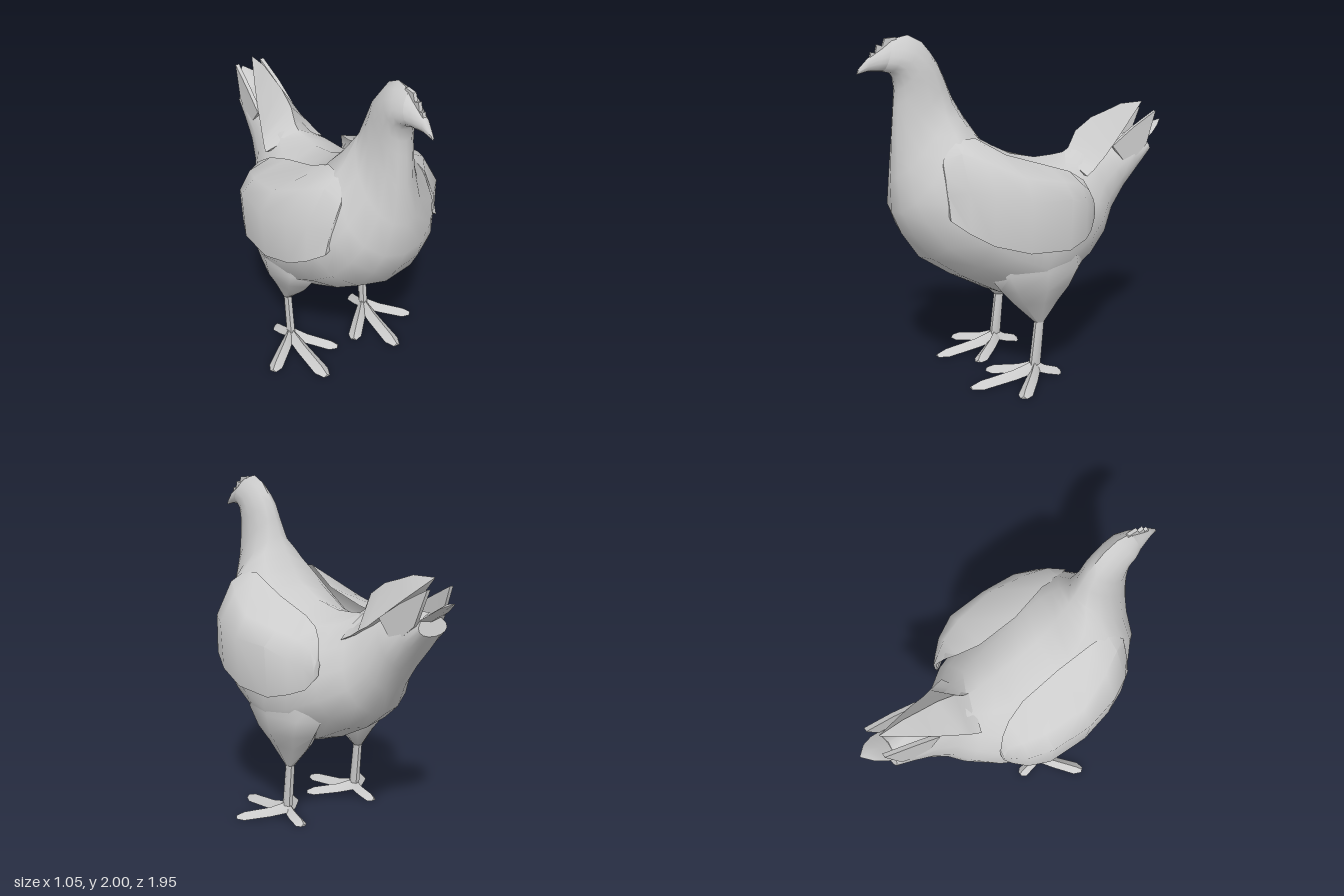
import * as THREE from 'three';
import { toCreasedNormals } from 'three/addons/utils/BufferGeometryUtils.js';

const material = new THREE.MeshStandardMaterial({ color: 0xcccccc, side: THREE.DoubleSide });

// Skin a list of closed rings of [x, y, z] points, cap both ends, and face it outwards
function loft(rings, crease = 1) {
  const n = rings[0].length;
  const pts = rings.flat();
  const faces = [];
  for (let r = 0; r < rings.length - 1; r++) {
    for (let i = 0; i < n; i++) {
      const a = r * n + i, b = r * n + (i + 1) % n;
      faces.push([a, b, b + n], [a, b + n, a + n]);
    }
  }
  const last = (rings.length - 1) * n;
  for (let i = 1; i < n - 1; i++) {
    faces.push([0, i + 1, i], [last, last + i, last + i + 1]);
  }
  let volume = 0;
  const v = pts.map(p => new THREE.Vector3(...p));
  for (const [a, b, c] of faces) volume += v[a].dot(v[b].clone().cross(v[c]));
  if (volume < 0) faces.forEach(f => f.reverse());
  const g = new THREE.BufferGeometry();
  g.setAttribute('position', new THREE.Float32BufferAttribute(pts.flat(), 3));
  g.setIndex(faces.flat());
  return toCreasedNormals(g, crease);
}

function add(group, name, geometry) {
  const mesh = new THREE.Mesh(geometry, material);
  mesh.name = name;
  group.add(mesh);
}

const mirror = (p, side) => [p[0] * side, p[1], p[2]];

// Tilted body section: top z, y; bottom z, y; half width; sag (below 1 puts the width lower)
function section([zt, yt, zb, yb, w, sag = 1]) {
  const ring = [];
  for (let i = 0; i < 14; i++) {
    const a = i / 14 * Math.PI * 2;
    const s = Math.pow((1 - Math.cos(a)) / 2, sag);
    ring.push([w * Math.sin(a), yt + (yb - yt) * s, zt + (zb - zt) * s]);
  }
  return ring;
}

// Horizontal oval ring
function oval(x, y, z, rx, rz, n) {
  return Array.from({ length: n }, (_, i) => {
    const a = i / n * Math.PI * 2;
    return [x + rx * Math.cos(a), y, z + rz * Math.sin(a)];
  });
}

// Toe with a ridge on top and a flat sole, from the ankle to its tip
function toe(from, tip, width) {
  const dx = tip[0] - from[0], dz = tip[1] - from[1], len = Math.hypot(dx, dz);
  const nx = dz / len, nz = -dx / len;
  const rings = [[0, 0.7, 0.105, 0.04], [0.35, 0.9, 0.065, 0.02], [0.85, 1, 0.038, 0], [1, 0.45, 0.015, 0]];
  return loft(rings.map(([t, k, top, sole]) => {
    const x = from[0] + dx * t, z = from[1] + dz * t, w = width * k;
    return [[x, top, z], [x + nx * w, sole, z + nz * w], [x - nx * w, sole, z - nz * w]];
  }), 0.6);
}

export function createModel() {
  const hen = new THREE.Group();
  hen.name = 'hen';

  // Body, neck and head in one skin, from tail to face
  const body = [
    [-0.80, 1.36, -0.845, 1.24, 0.11, 0.65],
    [-0.62, 1.36, -0.77, 1.14, 0.125, 0.65],
    [-0.46, 1.35, -0.67, 1.02, 0.145, 0.65],
    [-0.36, 1.33, -0.57, 0.88, 0.18, 0.7],
    [-0.29, 1.28, -0.49, 0.73, 0.245, 0.75],
    [-0.20, 1.27, -0.34, 0.61, 0.345, 0.8],
    [-0.08, 1.265, -0.13, 0.50, 0.42, 0.8],
    [0.08, 1.30, 0.05, 0.435, 0.45, 0.8],
    [0.20, 1.36, 0.25, 0.50, 0.46, 0.85],
    [0.27, 1.40, 0.47, 0.62, 0.45, 0.9],
    [0.33, 1.48, 0.66, 0.75, 0.41, 0.9],
    [0.38, 1.55, 0.76, 0.90, 0.34, 0.85],
    [0.41, 1.60, 0.815, 1.03, 0.28, 0.85],
    [0.44, 1.65, 0.815, 1.22, 0.17, 0.9],
    [0.48, 1.75, 0.80, 1.45, 0.115],
    [0.52, 1.84, 0.785, 1.62, 0.10],
    [0.56, 1.90, 0.775, 1.70, 0.095, 0.85],
    [0.61, 1.96, 0.78, 1.77, 0.09, 0.7],
    [0.69, 2.0, 0.80, 1.80, 0.085, 0.6],
    [0.78, 1.98, 0.84, 1.81, 0.06, 0.7]
  ].map(section);
  add(hen, 'body', loft(body));

  // Beak
  add(hen, 'beak', loft([body[body.length - 1], ...[
    [0.83, 1.94, 0.88, 1.813, 0.045, 0.8],
    [0.915, 1.885, 0.92, 1.815, 0.025],
    [0.97, 1.83, 0.98, 1.80, 0.006]
  ].map(section)]));

  // Small jagged comb along the brow
  const comb = new THREE.Shape([
    [0.74, 1.94], [0.76, 1.99], [0.82, 1.985], [0.835, 1.945], [0.865, 1.955], [0.875, 1.91],
    [0.90, 1.915], [0.91, 1.87], [0.86, 1.87]
  ].map(p => new THREE.Vector2(...p)));
  const combGeometry = new THREE.ExtrudeGeometry(comb, { depth: 0.02, bevelEnabled: false });
  add(hen, 'comb', combGeometry.translate(0, 0, -0.01).rotateY(-Math.PI / 2));

  // Tail: ridged upper feather, y and z of the ridge, then x, y, z of its lower edge
  const roof = [
    [1.27, -0.26, 0.20, 1.16, -0.33], [1.30, -0.31, 0.18, 1.19, -0.39],
    [1.40, -0.36, 0.165, 1.22, -0.43], [1.475, -0.47, 0.145, 1.25, -0.48],
    [1.51, -0.58, 0.11, 1.335, -0.58], [1.545, -0.68, 0.07, 1.42, -0.68],
    [1.55, -0.83, 0.004, 1.545, -0.83]
  ];
  add(hen, 'upperTailFeather', loft(roof.map(([y, z, x, ye, ze]) =>
    [[0, y, z], [x, ye, ze], [-x, ye, ze]])));

  // Tail: flat lower feather
  const lower = [[0.10, 1.30, -0.77], [0.085, 1.36, -0.86], [0.055, 1.405, -0.92], [0.004, 1.43, -0.97]];
  add(hen, 'lowerTailFeather', loft(lower.map(([x, y, z]) =>
    [[-x, y, z], [0, y + 0.3 * x, z], [x, y, z], [0, y - 0.2 * x, z]])));

  // Wing columns from front to back: z, then x, y from the upper to the lower edge
  const wing = [
    [0.61, 0.27, 1.35, 0.30, 1.27, 0.34, 1.17, 0.37, 1.04],
    [0.52, 0.22, 1.44, 0.32, 1.39, 0.43, 1.20, 0.43, 0.97],
    [0.40, 0.22, 1.45, 0.38, 1.345, 0.49, 1.18, 0.475, 0.90],
    [0.20, 0.20, 1.335, 0.45, 1.25, 0.527, 1.13, 0.51, 0.84],
    [-0.05, 0.21, 1.255, 0.43, 1.20, 0.515, 1.12, 0.50, 0.825],
    [-0.18, 0.25, 1.215, 0.39, 1.17, 0.46, 1.06, 0.45, 0.86],
    [-0.25, 0.29, 1.165, 0.355, 1.12, 0.40, 1.02, 0.39, 0.89],
    [-0.29, 0.325, 1.07, 0.345, 1.05, 0.36, 1.0, 0.355, 0.95]
  ];

  for (const side of [1, -1]) {
    const label = side > 0 ? 'left' : 'right';

    // Wing with a thin inner face
    const wingRings = wing.map(([z, ...c]) => {
      const outer = [0, 2, 4, 6].map(i => [c[i], c[i + 1], z]);
      const inner = [6, 4, 2].map(i => [c[i] - 0.03, c[i + 1] + (i === 6 ? 0.02 : -0.02), z]);
      return [...outer, ...inner].map(p => mirror(p, side));
    });
    add(hen, label + 'Wing', loft(wingRings, 0.9));

    // Upright feather at the side of the tail
    const feather = [
      [0.125, 1.31, -0.55, 1.18, -0.66], [0.115, 1.41, -0.70, 1.30, -0.80], [0.10, 1.50, -0.87, 1.495, -0.87]
    ];
    add(hen, label + 'TailFeather', loft(feather.map(([x, yt, zt, yb, zb]) =>
      [[x, yt, zt], [x, yb, zb], [x - 0.025, yb, zb], [x - 0.025, yt, zt]].map(p => mirror(p, side)))));

    // Thigh
    const thigh = [
      [0.29, 0.80, 0.05, 0.135, 0.28], [0.28, 0.68, 0.05, 0.15, 0.31],
      [0.275, 0.57, 0.045, 0.135, 0.23], [0.258, 0.48, 0.04, 0.105, 0.155], [0.275, 0.345, 0.027, 0.028, 0.032]
    ];
    add(hen, label + 'Thigh', loft(thigh.map(([x, y, z, rx, rz]) => oval(x * side, y, z, rx, rz, 8))));

    // Shank
    add(hen, label + 'Leg', loft([
      oval(0.275 * side, 0.37, 0.025, 0.025, 0.03, 6),
      oval(0.275 * side, 0.08, 0.055, 0.027, 0.035, 6)
    ]));

    // Foot: three front toes and a short hind toe
    const foot = new THREE.Group();
    foot.name = label + 'Foot';
    hen.add(foot);
    const toes = [
      ['outerToe', 0.515, 0.25, 0.042], ['middleToe', 0.26, 0.46, 0.047],
      ['innerToe', 0.06, 0.27, 0.042], ['hindToe', 0.29, -0.11, 0.037]
    ];
    for (const [name, x, z, w] of toes) add(foot, name, toe([0.275 * side, 0.05], [x * side, z], w));
  }
  return hen;
}
